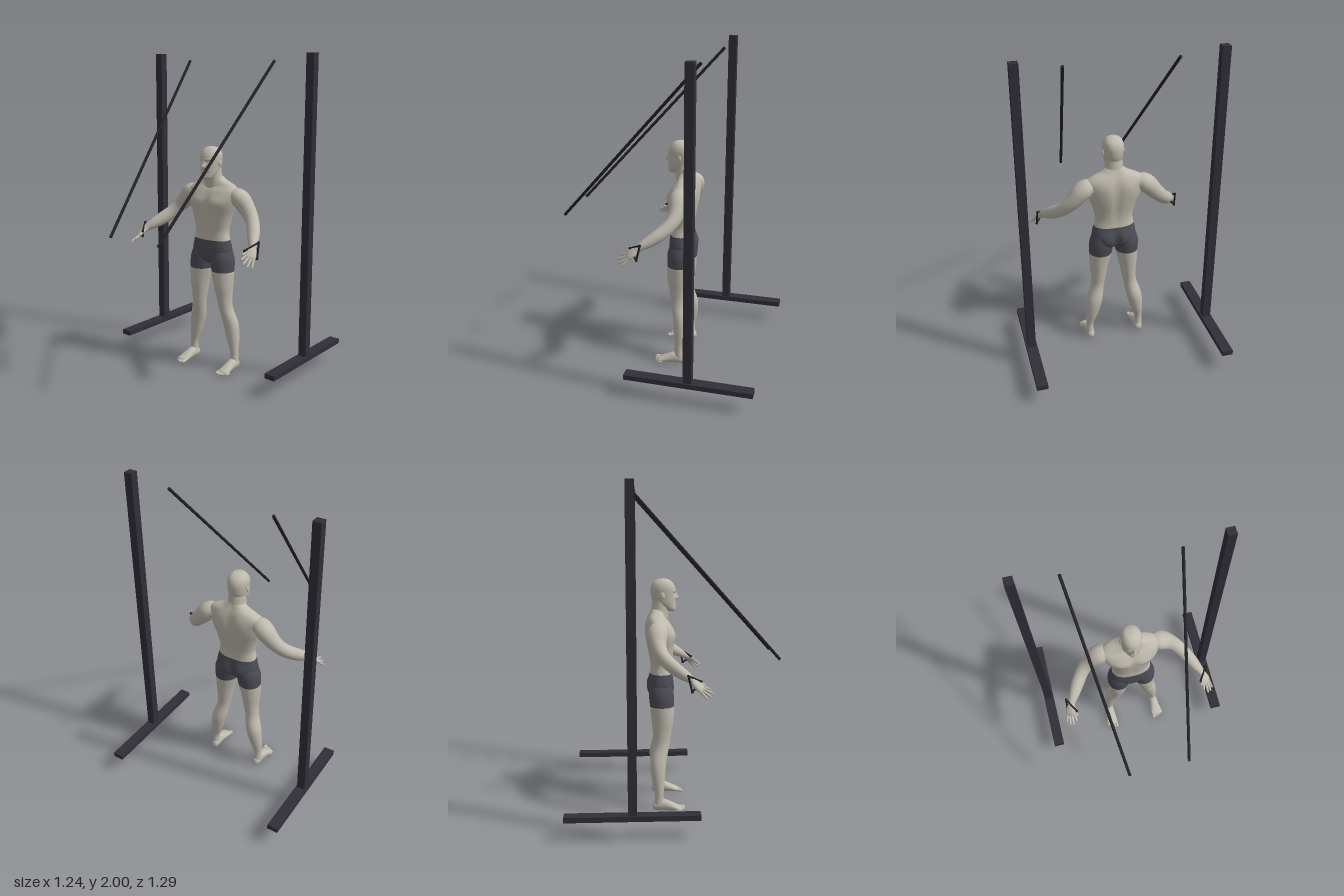
import * as THREE from 'three';

const mat = (name, color) => Object.assign(new THREE.MeshStandardMaterial({ color }), { name });
const V = (x, y, z) => new THREE.Vector3(x, y, z);
const UP = V(0, 1, 0), FRONT = V(0, 0, 1), SIDE = V(1, 0, 0);

// Smooth skin over sections [x, y, z, a, b]: radius a lies along ref, b across it.
// A fixed axis keeps the rings parallel, otherwise they follow the path.
function loft(sections, { ref = FRONT, axis = null, from = 0, to = sections.length - 1, round = 2, seg = 28, steps = 6 } = {}) {
  const last = sections.length - 1;
  const path = new THREE.CatmullRomCurve3(sections.map(s => V(s[0], s[1], s[2])), false, 'catmullrom', 0.5);
  const radii = new THREE.CatmullRomCurve3(sections.map(s => V(s[3], s[4], 0)), false, 'catmullrom', 0.5);
  const pos = [], idx = [], rows = (to - from) * steps;
  const power = c => Math.sign(c) * Math.abs(c) ** (2 / round);
  for (let i = 0; i <= rows; i++) {
    const t = (from + i / steps) / last;
    const p = path.getPoint(t), r = radii.getPoint(t), T = axis || path.getTangent(t);
    const u = ref.clone().addScaledVector(T, -ref.dot(T)).normalize();
    const v = new THREE.Vector3().crossVectors(T, u);
    for (let j = 0; j < seg; j++) {
      const a = j / seg * Math.PI * 2;
      const q = p.clone().addScaledVector(u, power(Math.cos(a)) * Math.max(r.x, 0.0005))
        .addScaledVector(v, power(Math.sin(a)) * Math.max(r.y, 0.0005));
      pos.push(q.x, q.y, q.z);
      if (i < rows) {
        const A = i * seg + j, B = i * seg + (j + 1) % seg;
        idx.push(A, B, B + seg, A, B + seg, A + seg);
      }
    }
  }
  const g = new THREE.BufferGeometry();
  g.setAttribute('position', new THREE.Float32BufferAttribute(pos, 3));
  g.setIndex(idx);
  g.computeVertexNormals();
  return g;
}

// Soft swellings [x, y, width, height, dz], mirrored, on the front (dir 1) or back (dir -1)
function swell(g, midZ, bumps) {
  const p = g.attributes.position;
  for (let i = 0; i < p.count; i++) {
    const x = Math.abs(p.getX(i)), y = p.getY(i), z = p.getZ(i);
    let d = 0;
    for (const [bx, by, w, h, dz, dir] of bumps) {
      const facing = THREE.MathUtils.clamp((z - midZ) * dir / 0.05, 0, 1);
      d += dz * facing * Math.exp(-(((x - bx) / w) ** 2) - ((y - by) / h) ** 2);
    }
    p.setZ(i, z + d);
  }
  g.computeVertexNormals();
  return g;
}

// Upright section from its half width and its front and back
const slice = ([y, rx, f, b]) => [0, y, (f + b) / 2, (f - b) / 2, rx];

export function createModel() {
  const skin = mat('skin', 0xbfbaae), cloth = mat('shorts cloth', 0x4d4c55);
  const frame = mat('frame paint', 0x302f39), rodMat = mat('rod', 0x232427), strapMat = mat('strap', 0x222226);
  const model = new THREE.Group();
  const add = (name, geo, material, parent = model) => {
    const m = new THREE.Mesh(geo, material);
    m.name = name;
    parent.add(m);
    return m;
  };
  const ball = (name, x, y, z, a, b, c, material, parent) => {
    const m = add(name, new THREE.SphereGeometry(1, 16, 12), material, parent);
    m.position.set(x, y, z);
    m.scale.set(a, b, c);
    return m;
  };

  // Torso and hips share one profile, split at the waistband
  const trunk = [
    [0.69, 0.05, -0.05, -0.11], [0.72, 0.12, -0.012, -0.15], [0.78, 0.14, -0.002, -0.158],
    [0.85, 0.127, -0.008, -0.148], [0.90, 0.118, -0.01, -0.147], [0.95, 0.126, -0.006, -0.153],
    [1.01, 0.143, 0.0, -0.165], [1.06, 0.163, 0.002, -0.172], [1.11, 0.178, -0.002, -0.172],
    [1.16, 0.185, -0.024, -0.168], [1.195, 0.15, -0.05, -0.16], [1.225, 0.085, -0.058, -0.148],
    [1.25, 0.05, -0.06, -0.138]].map(slice);
  const trunkOpts = { axis: UP, round: 2.35, seg: 56 };
  add('hips', swell(loft(trunk, { ...trunkOpts, to: 3 }), -0.08, [
    [0.06, 0.765, 0.045, 0.05, -0.014, -1], [0, 0.75, 0.014, 0.06, 0.02, -1], [0, 0.73, 0.03, 0.04, 0.008, 1]]), cloth);
  add('torso', swell(loft(trunk, { ...trunkOpts, from: 3 }), -0.08, [
    [0.075, 1.09, 0.06, 0.04, 0.012, 1], [0, 1.1, 0.014, 0.06, -0.008, 1], [0, 0.95, 0.012, 0.08, -0.004, 1],
    [0.07, 1.13, 0.05, 0.06, -0.01, -1], [0, 1.05, 0.02, 0.14, 0.013, -1]]), skin);

  // Neck and head
  add('neck', loft([[1.16, 0.07, -0.04, -0.15], [1.21, 0.062, -0.034, -0.145], [1.25, 0.056, -0.028, -0.138],
    [1.30, 0.052, -0.03, -0.132]].map(slice), { axis: UP }), skin);
  const skull = [
    [1.233, 0.004, -0.02, -0.03], [1.237, 0.026, 0.004, -0.055], [1.25, 0.04, 0.012, -0.075],
    [1.28, 0.053, 0.011, -0.115], [1.31, 0.058, 0.012, -0.134], [1.345, 0.062, 0.012, -0.141],
    [1.38, 0.063, 0.01, -0.141], [1.41, 0.054, -0.006, -0.128], [1.43, 0.034, -0.03, -0.1],
    [1.437, 0.002, -0.062, -0.066]].map(slice);
  add('head', swell(loft(skull, { axis: UP, seg: 80, steps: 10, round: 2.1 }), -0.05, [
    [0, 1.317, 0.011, 0.012, 0.02, 1], [0, 1.338, 0.008, 0.02, 0.01, 1], [0.024, 1.343, 0.012, 0.009, -0.01, 1],
    [0.024, 1.36, 0.02, 0.007, 0.004, 1], [0, 1.281, 0.016, 0.005, 0.006, 1], [0, 1.269, 0.014, 0.005, 0.006, 1],
    [0, 1.275, 0.02, 0.003, -0.004, 1], [0, 1.246, 0.015, 0.01, 0.004, 1]]), skin);

  for (const s of [1, -1]) {
    const label = s > 0 ? 'left' : 'right';
    const side = new THREE.Group();
    side.name = label + 'Limbs';
    model.add(side);
    const mir = list => list.map(([x, ...rest]) => [x * s, ...rest]);

    const ear = ball('ear', s * 0.064, 1.335, -0.068, 0.007, 0.021, 0.013, skin, side);
    ear.rotation.set(-0.2, s * -0.35, 0);
    for (const [n, x, y, z, r] of [['eye', 0.024, 1.343, -0.005, 0.009]]) ball(n, s * x, y, z, r, r * 0.7, r, skin, side);

    // Leg, split at the hem of the shorts
    const leg = mir([
      [0.072, 0.81, -0.083, 0.06, 0.055], [0.08, 0.73, -0.08, 0.077, 0.076], [0.086, 0.65, -0.076, 0.074, 0.073],
      [0.095, 0.56, -0.073, 0.068, 0.06], [0.1, 0.48, -0.076, 0.057, 0.049], [0.11, 0.40, -0.081, 0.049, 0.043],
      [0.133, 0.30, -0.101, 0.05, 0.05], [0.151, 0.20, -0.102, 0.041, 0.041], [0.166, 0.11, -0.097, 0.027, 0.025],
      [0.167, 0.04, -0.1, 0.03, 0.025]]);
    add('shortsLeg', loft(leg, { axis: UP, to: 2 }).toNonIndexed && flip(loft(leg, { axis: UP, to: 2 })), cloth, side);
    add('leg', flip(loft(leg, { axis: UP, from: 2 })), skin, side);

    // Foot and toes
    add('foot', loft(mir([
      [0.165, 0.026, -0.139, 0.004, 0.006], [0.165, 0.029, -0.13, 0.02, 0.024], [0.166, 0.036, -0.1, 0.027, 0.035],
      [0.167, 0.036, -0.065, 0.029, 0.036], [0.168, 0.028, -0.025, 0.033, 0.028], [0.17, 0.019, 0.012, 0.038, 0.018],
      [0.17, 0.014, 0.035, 0.035, 0.012], [0.17, 0.012, 0.044, 0.015, 0.005]]), { axis: FRONT, ref: SIDE }), skin, side);
    for (let i = 0; i < 5; i++) {
      const r = i ? 0.0075 : 0.011;
      ball('toe', s * (0.142 + i * 0.0155), r + 0.002, 0.047 - i * i * 0.0016, r, r, 0.02, skin, side);
    }

    // Arm
    add('arm', loft(mir([
      [0.14, 1.14, -0.102, 0.045, 0.045], [0.18, 1.13, -0.103, 0.06, 0.056], [0.213, 1.105, -0.105, 0.06, 0.058],
      [0.25, 1.063, -0.103, 0.05, 0.052], [0.288, 1.022, -0.09, 0.043, 0.046], [0.325, 0.982, -0.06, 0.04, 0.043],
      [0.365, 0.942, -0.01, 0.038, 0.042], [0.4, 0.909, 0.043, 0.031, 0.033], [0.424, 0.886, 0.08, 0.021, 0.024],
      [0.433, 0.872, 0.095, 0.018, 0.022]]), { ref: FRONT }), skin, side);

    // Hand with spread fingers
    const across = V(0.85 * s, -0.5, -0.15).normalize();
    add('palm', loft(mir([
      [0.421, 0.89, 0.075, 0.016, 0.014], [0.431, 0.875, 0.095, 0.024, 0.016], [0.44, 0.856, 0.117, 0.032, 0.016],
      [0.448, 0.838, 0.138, 0.031, 0.012], [0.451, 0.831, 0.147, 0.018, 0.004]]), { ref: across, round: 2.4, seg: 20 }), skin, side);
    const tips = [[0.42, 0.828, 0.192], [0.445, 0.808, 0.207], [0.466, 0.792, 0.195], [0.484, 0.783, 0.172]];
    const finger = (name, a, b, r) => {
      const at = (t, k) => [...a.clone().lerp(b, t).toArray(), r * k, r * k];
      add(name, loft([at(0, 1), at(0.45, 0.95), at(0.85, 0.8), at(0.97, 0.5), at(1, 0.05)], { ref: across, seg: 10, steps: 3 }), skin, side);
    };
    tips.forEach(([x, y, z], i) => finger('finger',
      V(0.446 * s, 0.842, 0.132).addScaledVector(across, (i - 1.5) * 0.015), V(x * s, y, z), 0.0085));
    finger('thumb', V(0.424 * s, 0.872, 0.108), V(0.407 * s, 0.85, 0.165), 0.0095);

    // Hand strap: three straight runs with a knot at each bend
    const corners = [V(0.455 * s, 0.915, 0.063), V(0.406 * s, 0.872, 0.14), V(0.46 * s, 0.822, 0.085)];
    corners.forEach((c, i) => {
      add('strap', new THREE.TubeGeometry(new THREE.LineCurve3(c, corners[(i + 1) % 3]), 1, 0.006, 8), strapMat, side);
      ball('strapKnot', c.x, c.y, c.z, 0.008, 0.008, 0.008, strapMat, side);
    });
    ball('strapBead', 0.425 * s, 0.852, 0.14, 0.009, 0.009, 0.009, strapMat, side);

    // Slanted rod
    const top = V(0.329 * s, 1.955, -0.256), low = V(0.185 * s, 0.957, 0.637);
    const rod = add(label + 'Rod', new THREE.CylinderGeometry(0.009, 0.009, top.distanceTo(low), 12), rodMat);
    rod.position.copy(top).add(low).multiplyScalar(0.5);
    rod.quaternion.setFromUnitVectors(UP, top.clone().sub(low).normalize());

    // Upright post on its long base beam
    add(label + 'Post', new THREE.BoxGeometry(0.051, 1.86, 0.051), frame).position.set(s * 0.588, 1.07, -0.26);
    add(label + 'BaseBeam', new THREE.BoxGeometry(0.068, 0.031, 0.776), frame).position.set(s * 0.588, 0.132, -0.26);
  }
  return model;
}

// Turns the faces of a loft that runs against its axis
function flip(g) {
  g.index.array.reverse();
  g.computeVertexNormals();
  return g;
}
